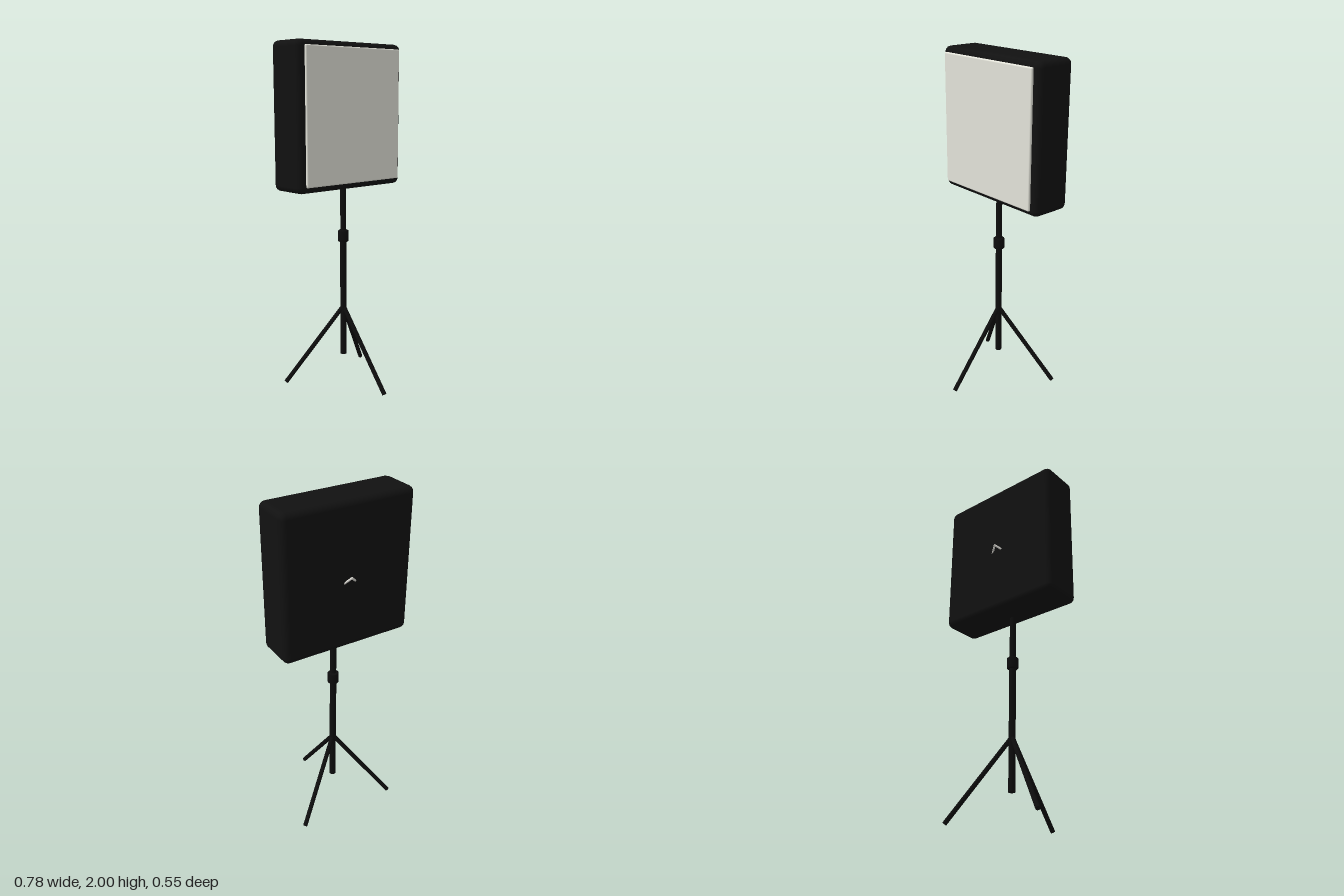
import * as THREE from 'three';
import { RoundedBoxGeometry } from 'three/addons/geometries/RoundedBoxGeometry.js';

const shellBlack = new THREE.MeshStandardMaterial({ color: 0x111111 });
shellBlack.name = 'shellBlack';
const standBlack = new THREE.MeshStandardMaterial({ color: 0x0d0d0d });
standBlack.name = 'standBlack';
const diffuserWhite = new THREE.MeshStandardMaterial({ color: 0xe4e4da });
diffuserWhite.name = 'diffuserWhite';
const hookMetal = new THREE.MeshStandardMaterial({ color: 0xd8d6d0 });
hookMetal.name = 'hookMetal';

const POLE_Z = -0.085;

function add(group, name, geometry, material, x = 0, y = 0, z = 0) {
  const mesh = new THREE.Mesh(geometry, material);
  mesh.name = name;
  mesh.position.set(x, y, z);
  group.add(mesh);
  return mesh;
}

// Straight round bar between two points
function bar(group, name, a, b, radius, sides, material) {
  const dir = b.clone().sub(a);
  const geometry = new THREE.CylinderGeometry(radius, radius, dir.length(), sides);
  const mesh = add(group, name, geometry, material);
  mesh.position.copy(a).add(b).multiplyScalar(0.5);
  mesh.quaternion.setFromUnitVectors(new THREE.Vector3(0, 1, 0), dir.normalize());
  return mesh;
}

export function createModel() {
  const model = new THREE.Group();
  model.name = 'studioSoftbox';
  const v = (x, y, z) => new THREE.Vector3(x, y, z);

  // Light housing and the diffuser panel just ahead of it
  add(model, 'housing', new RoundedBoxGeometry(0.776, 0.822, 0.242, 2, 0.035), shellBlack, 0, 1.589, -0.119);
  add(model, 'diffuser', new RoundedBoxGeometry(0.7, 0.756, 0.018, 3, 0.008), diffuserWhite, 0, 1.592, 0.013);

  // Telescopic pole
  bar(model, 'lowerPole', v(0, 0.16, POLE_Z), v(0, 0.89, POLE_Z), 0.019, 20, standBlack);
  bar(model, 'upperPole', v(0, 0.88, POLE_Z), v(0, 1.24, POLE_Z), 0.0175, 20, standBlack);

  // Clamp collar with small bevels
  const collar = [[0, -0.034], [0.027, -0.034], [0.032, -0.029], [0.032, 0.029], [0.027, 0.034], [0, 0.034]];
  add(model, 'clampCollar', new THREE.LatheGeometry(collar.map(([r, y]) => new THREE.Vector2(r, y)), 20),
    standBlack, 0, 0.891, POLE_Z);

  // Three tripod legs, one pointing forward
  for (let i = 0; i < 3; i++) {
    const a = (i * Math.PI * 2) / 3;
    const foot = v(Math.sin(a) * 0.353, 0.008, POLE_Z + Math.cos(a) * 0.353);
    bar(model, 'tripodLeg' + (i + 1), v(0, 0.46, POLE_Z), foot, 0.013, 16, standBlack);
  }

  // Small tilted hook on the back
  const hook = new THREE.Group();
  hook.name = 'backHook';
  for (const s of [-1, 1]) {
    bar(hook, 'hookArm', v(0, 1.594, -0.257), v(s * 0.043, 1.555, -0.23), 0.006, 8, hookMetal);
  }
  add(hook, 'hookTip', new THREE.SphereGeometry(0.006, 8, 6), hookMetal, 0, 1.594, -0.257);
  model.add(hook);

  return model;
}
